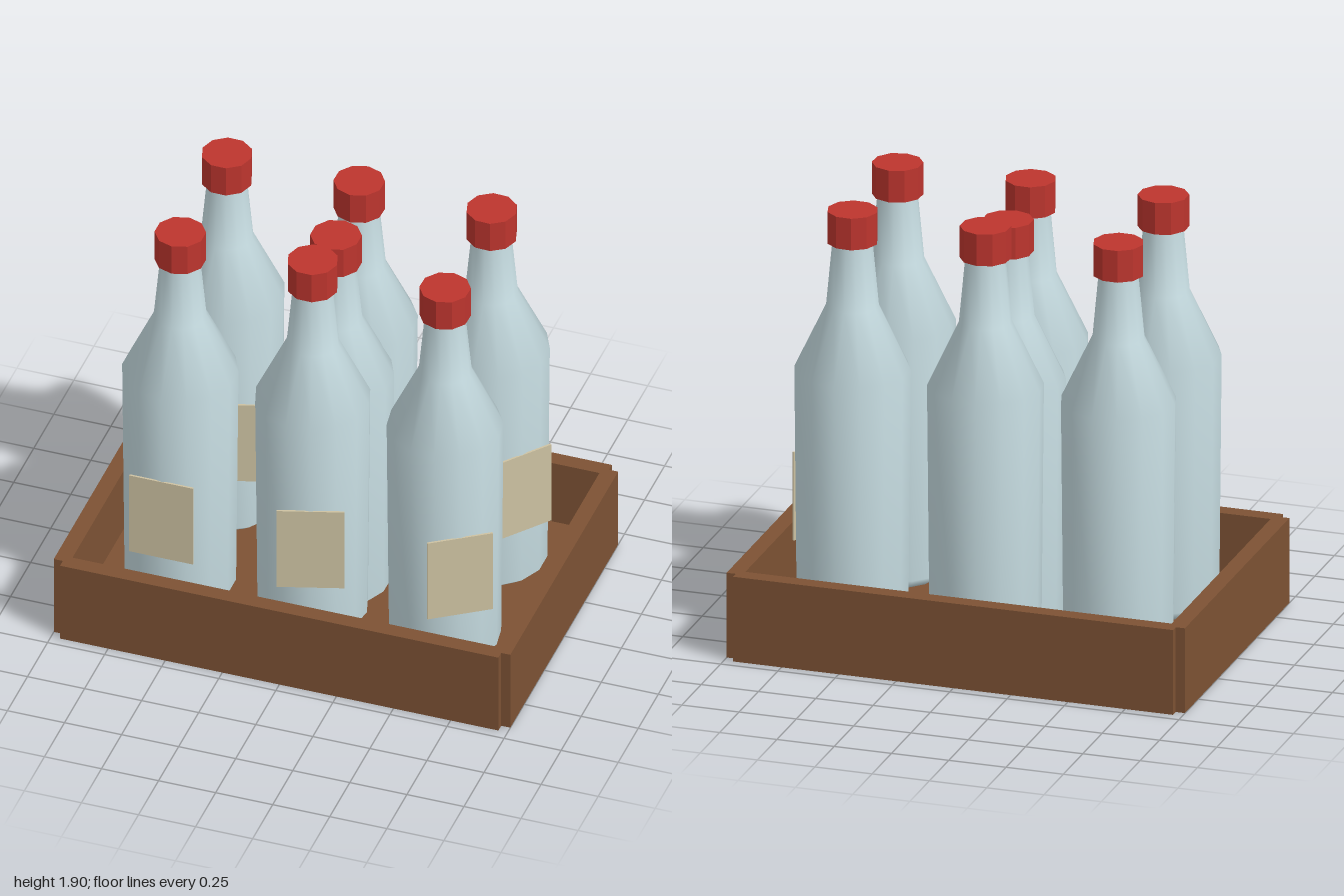
import * as THREE from 'three';

const material = (name, color) => {
  const m = new THREE.MeshStandardMaterial({ color });
  m.name = name;
  return m;
};

export function createModel() {
  const wood = material('brown wood', 0x7d5234);
  const glass = material('pale blue glass', 0xc6dce1);
  const red = material('red cap', 0xbd352e);
  const paper = material('cream paper', 0xcdc2a2);
  red.flatShading = true;

  const model = new THREE.Group();
  model.name = 'bottleCrate';

  const add = (parent, name, geometry, mat, x, y, z) => {
    const mesh = new THREE.Mesh(geometry, mat);
    mesh.name = name;
    mesh.position.set(x, y, z);
    parent.add(mesh);
    return mesh;
  };

  // Open crate: floor and four walls, leaving a small notch at each corner
  const crate = new THREE.Group();
  crate.name = 'crate';
  model.add(crate);
  const H = 0.375;
  add(crate, 'floor', new THREE.BoxGeometry(1.92, 0.075, 1.34), wood, 0, 0.0375, 0);
  for (const s of [-1, 1]) {
    add(crate, s > 0 ? 'frontWall' : 'backWall',
      new THREE.BoxGeometry(1.92, H, 0.07), wood, 0, H / 2, s * 0.6725);
    add(crate, s > 0 ? 'leftWall' : 'rightWall',
      new THREE.BoxGeometry(0.07, H, 1.345), wood, s * 0.965, H / 2, 0);
  }

  // Shared bottle parts
  const profile = [
    [0, 0], [0.17, 0], [0.232, 0.05], [0.242, 1.12], [0.11, 1.4], [0.083, 1.69],
  ].map(([r, y]) => new THREE.Vector2(r, y));
  const bodyGeometry = new THREE.LatheGeometry(profile, 14);
  const capGeometry = new THREE.CylinderGeometry(0.107, 0.107, 0.14, 10);
  const labelGeometry = new THREE.BoxGeometry(0.28, 0.39, 0.009);

  const addBottle = (x, y, z, turn, labelled) => {
    const bottle = new THREE.Group();
    bottle.name = 'bottle';
    bottle.position.set(x, y, z);
    bottle.rotation.y = turn;
    add(bottle, 'bottleBody', bodyGeometry, glass, 0, 0, 0);
    add(bottle, 'cap', capGeometry, red, 0, 1.75, 0);
    if (labelled) add(bottle, 'label', labelGeometry, paper, 0, 0.505, 0.236);
    model.add(bottle);
  };

  // Two rows of three, each turned a little further than the last
  for (let row = 0; row < 2; row++) {
    for (let col = 0; col < 3; col++) {
      addBottle((col - 1) * 0.58, 0.075, row ? -0.29 : 0.29, 0.3 * (row + col), true);
    }
  }

  // Extra bottle in the middle, standing slightly lower
  addBottle(0, -0.001, 0, 0, false);

  return model;
}
